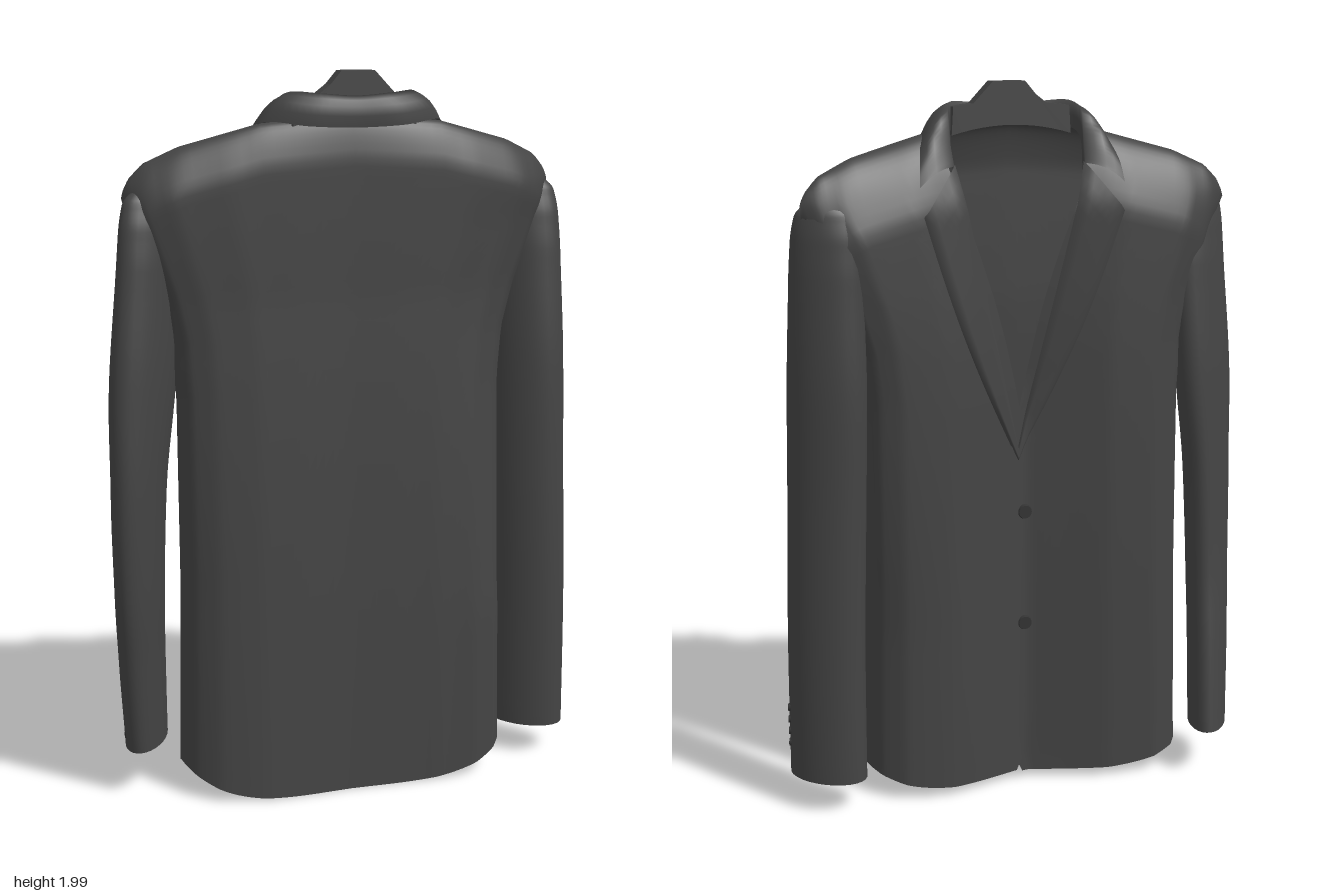
import * as THREE from 'three';
import { mergeVertices } from 'three/addons/utils/BufferGeometryUtils.js';

const cloth = new THREE.MeshStandardMaterial({ color: 0x444444, side: THREE.DoubleSide });
cloth.name = 'charcoal cloth';
const buttonMat = new THREE.MeshStandardMaterial({ color: 0x333333 });
buttonMat.name = 'dark button';

// Piecewise-linear lookup in [[key, value], ...]
function look(table, k) {
  if (k <= table[0][0]) return table[0][1];
  for (let i = 1; i < table.length; i++) {
    const [a, va] = table[i - 1], [b, vb] = table[i];
    if (k <= b) return va + (vb - va) * (k - a) / (b - a);
  }
  return table[table.length - 1][1];
}

// Smooth sheet through fn(u, v) with u, v in 0..1
function sheet(name, cols, rows, fn) {
  const pos = [], index = [];
  for (let j = 0; j <= rows; j++)
    for (let i = 0; i <= cols; i++) pos.push(...fn(i / cols, j / rows));
  for (let j = 0; j < rows; j++)
    for (let i = 0; i < cols; i++) {
      const a = j * (cols + 1) + i, b = a + 1, c = a + cols + 1, d = c + 1;
      index.push(a, b, d, a, d, c);
    }
  let g = new THREE.BufferGeometry();
  g.setAttribute('position', new THREE.Float32BufferAttribute(pos, 3));
  g.setIndex(index);
  g = mergeVertices(g, 1e-5);
  g.computeVertexNormals();
  const m = new THREE.Mesh(g, cloth);
  m.name = name;
  return m;
}

// Torso shape rules: half width by height, depth across the width
const width = y => look([[0, 0.465], [0.6, 0.452], [1.15, 0.455], [1.3, 0.468], [1.42, 0.5], [1.55, 0.553], [1.66, 0.597], [1.7, 0.608]], y);
const shift = y => look([[0, -0.022], [1.2, -0.018], [1.7, 0]], y);
const backZ = [[0, 0.11], [0.3, 0.115], [0.55, 0.115], [0.8, 0.098], [0.93, 0.07], [0.98, 0.04], [1, 0.01]];
const chestZ = [[0, 0.008], [0.25, -0.028], [0.5, -0.065], [0.8, -0.08], [0.93, -0.062], [0.98, -0.03], [1, 0.01]];
const topY = u => look([[0, 1.885], [0.4, 1.868], [0.75, 1.81], [0.9, 1.768], [0.96, 1.73], [1, 1.68]], Math.abs(u));

// The hanging cloth twists: each side drifts in depth with height
const drift = (u, y) => Math.abs(u) ** 4 *
  look(u > 0 ? [[0.5, 0.08], [1.2, 0.02], [1.6, -0.025]] : [[0.6, 0], [1.6, 0.025]], y);

function depth(u, y, front) {
  const a = Math.abs(u);
  const seam = 0.075 - 0.085 * a * a;
  let z = look(front ? chestZ : backZ, a);
  // the back flares out towards the hem
  if (!front) z += (0.045 + 0.015 * a * a) * Math.max(0, 1 - y / 1.4) * (1 - a ** 6);
  const k = Math.sqrt(Math.min(1, Math.max(0, topY(u) - y) / (front ? 0.19 : 0.11)));
  return seam + (z - seam) * k + drift(u, y);
}

function torso(u, t, front) {
  const hem = front ? 0.03 + 0.06 * u ** 4 : 0.008 + 0.09 * u ** 4;
  const y = hem + t * (topY(u) - hem);
  return [shift(y) + u * width(y), y, depth(u, y, front)];
}

// Rows crowd towards the shoulder line
const rowAt = v => 1 - (1 - v) ** 1.6;
const chestAt = (x, y) => depth((x - shift(y)) / width(y), y, true);

// Front panel from the opening edge to the side seam
function frontPanel(name, side, overlap, lift) {
  return sheet(name, 32, 48, (s, v) => {
    const t = rowAt(v);
    let edge = t < 0.52 ? overlap : overlap + (side * 0.36 - overlap) * (t - 0.52) / 0.48;
    if (t < 0.06) edge += side * 0.08 * (1 - t / 0.06) ** 2;
    const p = torso(edge + (side - edge) * (1 - (1 - s) ** 1.3), t, true);
    p[2] -= lift * (1 - s) * (1 - t ** 4);
    return p;
  });
}

// Folded lapel lying on the chest, with turned edges
function lapel(name, side) {
  const foot = 0.005;
  return sheet(name, 8, 20, (s, v) => {
    const ix = foot + (side * 0.18 - foot) * v, iy = 1.01 + 0.78 * v;
    const ox = foot + (side * 0.28 - foot) * v + side * 0.02 * Math.sin(Math.PI * v), oy = 0.97 + 0.69 * v;
    const x = ix + (ox - ix) * s, y = iy + (oy - iy) * s;
    const raise = s === 0 ? 0.012 : s === 1 ? 0.007 : 0.019;
    return [x, y, chestAt(x, y) - raise];
  });
}

// Collar: each station gives the fold line and the outer edge
const fold = [[0, 1.937, 0.118], [0.1, 1.944, 0.114], [0.168, 1.947, 0.078], [0.186, 1.925, 0.03],
  [0.187, 1.85, 0.008], [0.183, 1.785, chestAt(0.183, 1.785) - 0.014]];
const outer = [[0, 1.857, 0.14], [0.13, 1.862, 0.138], [0.236, 1.872, 0.09], [0.262, 1.845, 0.03],
  [0.278, 1.79, chestAt(0.278, 1.79) - 0.012], [0.285, 1.735, chestAt(0.285, 1.735) - 0.012]];
function curveOf(points) {
  const mirrored = points.slice(1).reverse().map(([x, y, z]) => [-x, y, z]);
  return new THREE.CatmullRomCurve3([...mirrored, ...points].map(p => new THREE.Vector3(...p)), false, 'centripetal');
}
function collar() {
  const f = curveOf(fold), o = curveOf(outer);
  return sheet('collar', 6, 60, (s, v) => {
    const a = f.getPoint(v), b = o.getPoint(v);
    if (s < 0.3) {
      // inner stand below the fold
      const d = (1 - s / 0.34) * 0.07;
      return [a.x * (1 - d * 0.4), a.y - d, a.z - 0.004];
    }
    const k = (s - 1 / 3) * 1.5;
    const p = a.lerp(b, k);
    const bulge = 0.012 * Math.sin(Math.PI * k);
    return [p.x * (1 + bulge), p.y + bulge, p.z + (p.z > 0.05 ? bulge : -bulge * 0.6)];
  });
}

// Sleeve: rows of [y, centre x, centre z, radius x, radius z]; lean slants the oval section
function sleeve(name, lean, rows) {
  const path = new THREE.CatmullRomCurve3(rows.map(r => new THREE.Vector3(r[1], r[0], r[2])), false, 'centripetal');
  const size = new THREE.CatmullRomCurve3(rows.map(r => new THREE.Vector3(r[3], r[4], 0)), false, 'catmullrom', 0.3);
  const upright = Math.sqrt(1 - lean * lean);
  return sheet(name, 28, 48, (u, v) => {
    const p = path.getPoint(v), r = size.getPoint(v), a = -u * Math.PI * 2;
    return [p.x + r.x * (upright * Math.cos(a) + lean * Math.sin(a)), p.y, p.z + r.y * Math.sin(a)];
  });
}

function button(name, radius, x, y, z, axis) {
  const m = new THREE.Mesh(new THREE.CylinderGeometry(radius * 0.85, radius, 0.012, 16), buttonMat);
  m.quaternion.setFromUnitVectors(new THREE.Vector3(0, 1, 0), axis.normalize());
  m.position.set(x, y, z);
  m.name = name;
  return m;
}

export function createModel() {
  const jacket = new THREE.Group();
  jacket.name = 'jacket';

  // Body
  jacket.add(sheet('backPanel', 60, 48, (s, v) => torso(Math.sin((s - 0.5) * Math.PI), rowAt(v), false)));
  jacket.add(frontPanel('overlappingFront', -1, 0.11, 0.012));
  jacket.add(frontPanel('underlappingFront', 1, -0.02, 0));
  jacket.add(lapel('lapelPositiveX', 1), lapel('lapelNegativeX', -1), collar());

  // Raised inner neck piece
  const s = new THREE.Shape();
  s.moveTo(-0.165, 1.86);
  s.lineTo(-0.16, 1.935);
  s.lineTo(-0.095, 1.942);
  s.lineTo(-0.065, 1.965);
  s.lineTo(-0.035, 2);
  s.lineTo(0.055, 2);
  s.lineTo(0.11, 1.942);
  s.lineTo(0.165, 1.935);
  s.lineTo(0.17, 1.86);
  s.quadraticCurveTo(0, 1.91, -0.165, 1.86);
  const neck = new THREE.Mesh(new THREE.ExtrudeGeometry(s, { depth: 0.048, bevelEnabled: false }), cloth);
  neck.position.z = 0.052;
  neck.name = 'innerNeck';
  jacket.add(neck);

  // Sleeves set in under the shoulders: one straight, one bent forward at the elbow
  jacket.add(sleeve('sleevePositiveX', 0.4, [
    [1.72, 0.53, -0.02, 0.03, 0.02], [1.67, 0.528, -0.02, 0.08, 0.05], [1.6, 0.53, -0.018, 0.09, 0.066],
    [1.5, 0.533, -0.015, 0.093, 0.076], [1.2, 0.538, -0.008, 0.1, 0.092], [0.9, 0.545, 0, 0.1, 0.092],
    [0.5, 0.556, 0.006, 0.1, 0.094], [0.1, 0.56, 0.008, 0.1, 0.096]]));
  jacket.add(sleeve('sleeveNegativeX', -0.5, [
    [1.72, -0.53, 0.025, 0.03, 0.02], [1.67, -0.526, 0.025, 0.08, 0.05], [1.6, -0.53, 0.025, 0.09, 0.068],
    [1.5, -0.538, 0.025, 0.092, 0.08], [1.2, -0.562, 0.028, 0.098, 0.1], [0.9, -0.582, 0.028, 0.084, 0.108],
    [0.6, -0.585, 0.01, 0.077, 0.108], [0.4, -0.579, -0.02, 0.073, 0.108], [0.145, -0.567, -0.06, 0.068, 0.108]]));

  // Front and cuff buttons
  for (const y of [0.82, 0.49])
    jacket.add(button('frontButton', 0.022, -0.015, y, chestAt(-0.015, y) - 0.016, new THREE.Vector3(0, 0, -1)));
  for (let i = 0; i < 4; i++) {
    const y = 0.19 + i * 0.035;
    jacket.add(button('cuffButton', 0.013, 0.655, y, 0.048, new THREE.Vector3(1, 0, 0.4)));
    jacket.add(button('cuffButton', 0.013, -0.63, y, 0.01 + (y - 0.19) * 0.17, new THREE.Vector3(-1, 0, 0.5)));
  }
  return jacket;
}
